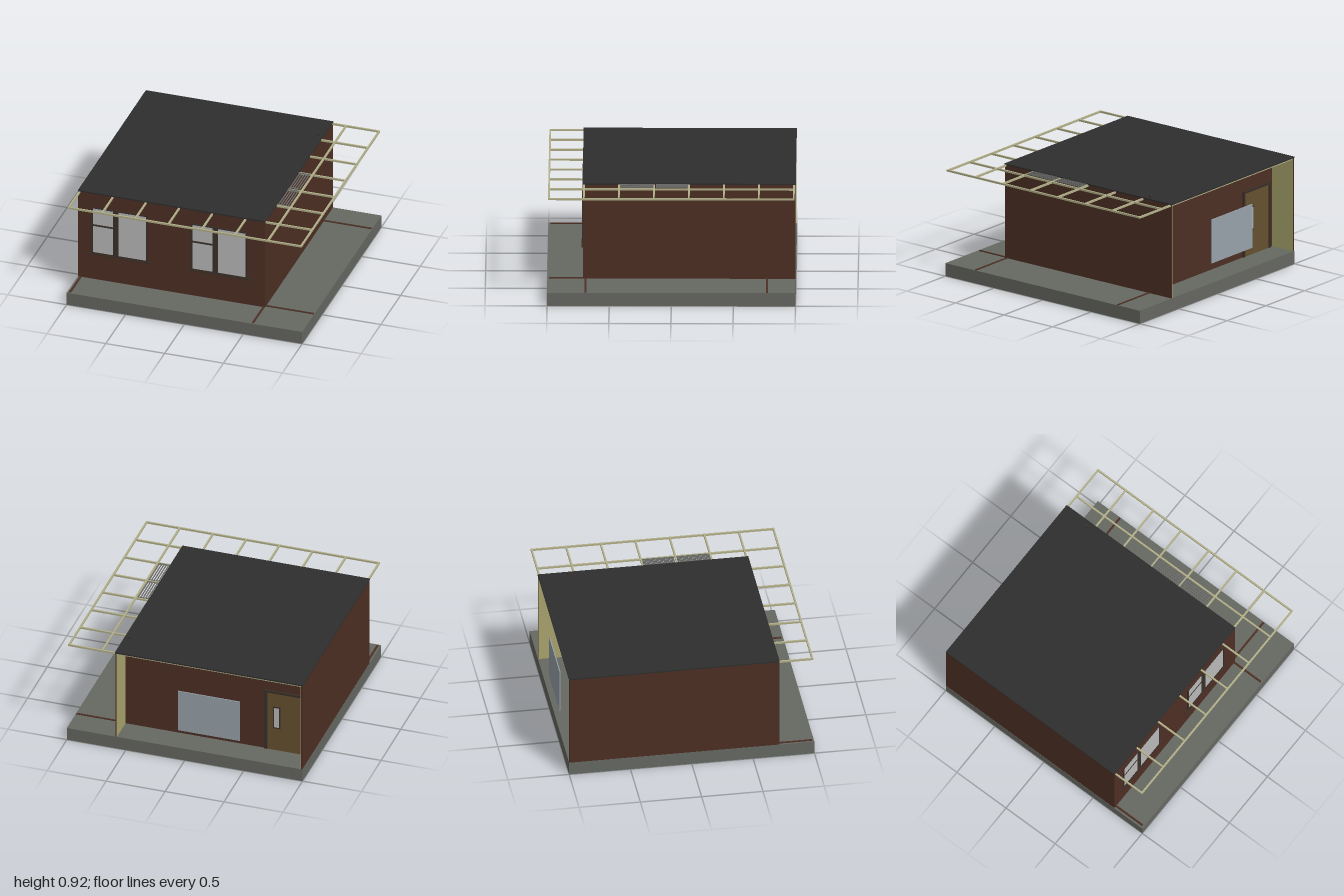
import * as THREE from 'three';

const mat = (name, color) => {
  const m = new THREE.MeshStandardMaterial({ color });
  m.name = name;
  return m;
};

export function createModel() {
  const brown = mat('brown wall', 0x4d2f24);
  const concrete = mat('grey concrete', 0x666862);
  const dark = mat('dark roof', 0x2e2e2e);
  const cream = mat('cream timber', 0xb3b08a);
  const frame = mat('dark frame', 0x3b3028);
  const glass = mat('window glass', 0xbababa);
  const panelGrey = mat('blue grey panel', 0x98a3ab);
  const doorBrown = mat('door brown', 0x66512f);
  const metal = mat('grey metal', 0x6c6c6a);
  const lining = mat('cream lining', 0xaaa56e);

  const model = new THREE.Group();
  model.name = 'house';
  const group = (name) => {
    const g = new THREE.Group();
    g.name = name;
    model.add(g);
    return g;
  };
  // Box given by its minimum and maximum on each axis
  const box = (parent, name, m, x0, x1, y0, y1, z0, z1) => {
    const mesh = new THREE.Mesh(new THREE.BoxGeometry(x1 - x0, y1 - y0, z1 - z0), m);
    mesh.position.set((x0 + x1) / 2, (y0 + y1) / 2, (z0 + z1) / 2);
    mesh.name = name;
    parent.add(mesh);
    return mesh;
  };

  const W = -0.998, E = 0.59, N = -0.998, S = 0.715; // house outline
  const BACK = -0.78;                               // recessed back wall
  const FLOOR = 0.11, TOP = 0.897;

  // Base slab with low strips continuing the wall lines
  box(model, 'baseSlab', concrete, -1, 1, 0, FLOOR, -1, 1);
  const strips = group('floorStrips');
  box(strips, 'sideStripBack', brown, E, 0.995, FLOOR, 0.116, -0.778, -0.762);
  box(strips, 'sideStripFront', brown, E, 0.995, FLOOR, 0.116, 0.684, 0.7);
  box(strips, 'frontStripRight', brown, 0.57, 0.586, FLOOR, 0.116, S, 0.985);
  box(strips, 'frontStripLeft', brown, -0.984, -0.968, FLOOR, 0.116, S, 0.985);

  // Walls; the side walls run past the back wall to shelter the porch
  const walls = group('walls');
  box(walls, 'frontWall', brown, W, E, FLOOR, TOP, S - 0.015, S);
  box(walls, 'backWall', brown, W + 0.015, E - 0.015, FLOOR, TOP, BACK, BACK + 0.015);
  box(walls, 'westWall', brown, W, W + 0.01, FLOOR, TOP, N, S - 0.015);
  box(walls, 'eastWall', brown, E - 0.01, E, FLOOR, TOP, N, S - 0.015);
  box(walls, 'westPorchLining', lining, W + 0.01, W + 0.015, FLOOR, TOP, N + 0.002, BACK);
  box(walls, 'eastPorchLining', lining, E - 0.015, E - 0.01, FLOOR, TOP, N + 0.002, BACK);

  // Roof, porch ceiling and small roof vent
  box(model, 'roof', dark, -1, E + 0.002, TOP, 0.908, -1, S + 0.002);
  box(model, 'porchCeiling', lining, W + 0.015, E - 0.015, 0.894, TOP, N, BACK);
  box(model, 'roofVent', frame, 0.54, 0.56, 0.908, 0.922, -0.765, -0.745);

  // Timber grid around the house, on one even spacing
  const pergola = group('pergola');
  const Y0 = 0.885, Y1 = 0.9, h = 0.007;
  for (let i = 0; i < 8; i++) {
    const p = -0.986 + i * 0.2817;
    box(pergola, 'sideRafter', cream, E, 0.99, Y0, Y1, p - h, p + h);
    if (p < E) {
      box(pergola, 'frontRafter', cream, p - h, p + h, Y0, Y1, S, 0.99);
      box(pergola, 'porchRafter', cream, p - h, p + h, Y0, 0.895, N + 0.004, BACK);
    } else {
      box(pergola, 'longBeam', cream, p - h, p + h, Y0, Y1, -0.993, 0.993);
    }
  }
  box(pergola, 'frontBeam', cream, -0.993, 0.993, Y0, Y1, 0.979, 0.993);
  box(pergola, 'porchBeam', cream, W + 0.015, E - 0.015, Y0, 0.895, -0.993, -0.979);

  // Two slatted racks lying on the side grid
  [[-0.13, 0.12], [0.15, 0.41]].forEach(([z0, z1]) => {
    const rack = group('slattedRack');
    for (let i = 0; i < 5; i++) {
      const x = 0.603 + i * 0.02;
      box(rack, 'slat', metal, x - 0.004, x + 0.004, 0.899, 0.906, z0, z1);
    }
    [z0, z1].forEach((z) => box(rack, 'rackEnd', metal, E, 0.69, 0.897, 0.903, z - 0.004, z + 0.004));
  });

  // Front windows: glass, frame bars and sill
  [-0.885, -0.04].forEach((x) => {
    const w = group('frontWindow');
    const bar = (name, x0, x1, y0, y1) => box(w, name, frame, x + x0, x + x1, y0, y1, S, S + 0.006);
    box(w, 'glass', glass, x + 0.01, x + 0.475, 0.355, 0.77, S, S + 0.003);
    bar('frameLeft', 0, 0.015, 0.35, 0.777);
    bar('frameRight', 0.467, 0.482, 0.35, 0.777);
    bar('frameTop', 0.015, 0.467, 0.765, 0.777);
    bar('frameBottom', 0.015, 0.467, 0.35, 0.36);
    bar('mullion', 0.186, 0.232, 0.36, 0.765);
    bar('transom', 0.015, 0.186, 0.603, 0.618);
    box(w, 'sill', frame, x - 0.035, x + 0.525, 0.339, 0.352, S, S + 0.01);
  });

  // Porch door with narrow glazed slot
  const door = group('door');
  box(door, 'doorFrameEast', frame, -0.63, -0.605, FLOOR, 0.665, BACK - 0.012, BACK);
  box(door, 'doorFrameWest', frame, -0.96, -0.935, FLOOR, 0.665, BACK - 0.012, BACK);
  box(door, 'doorFrameTop', frame, -0.935, -0.63, 0.645, 0.665, BACK - 0.012, BACK);
  box(door, 'doorLeaf', doorBrown, -0.935, -0.63, FLOOR, 0.645, BACK - 0.006, BACK);
  box(door, 'slotFrame', frame, -0.74, -0.68, 0.315, 0.52, BACK - 0.009, BACK - 0.006);
  box(door, 'slotGlass', glass, -0.73, -0.69, 0.327, 0.508, BACK - 0.011, BACK - 0.009);

  // Flat screen panel on the open side of the porch
  box(model, 'porchScreen', panelGrey, -0.465, 0.06, 0.27, 0.64, -0.992, -0.984);

  return model;
}
